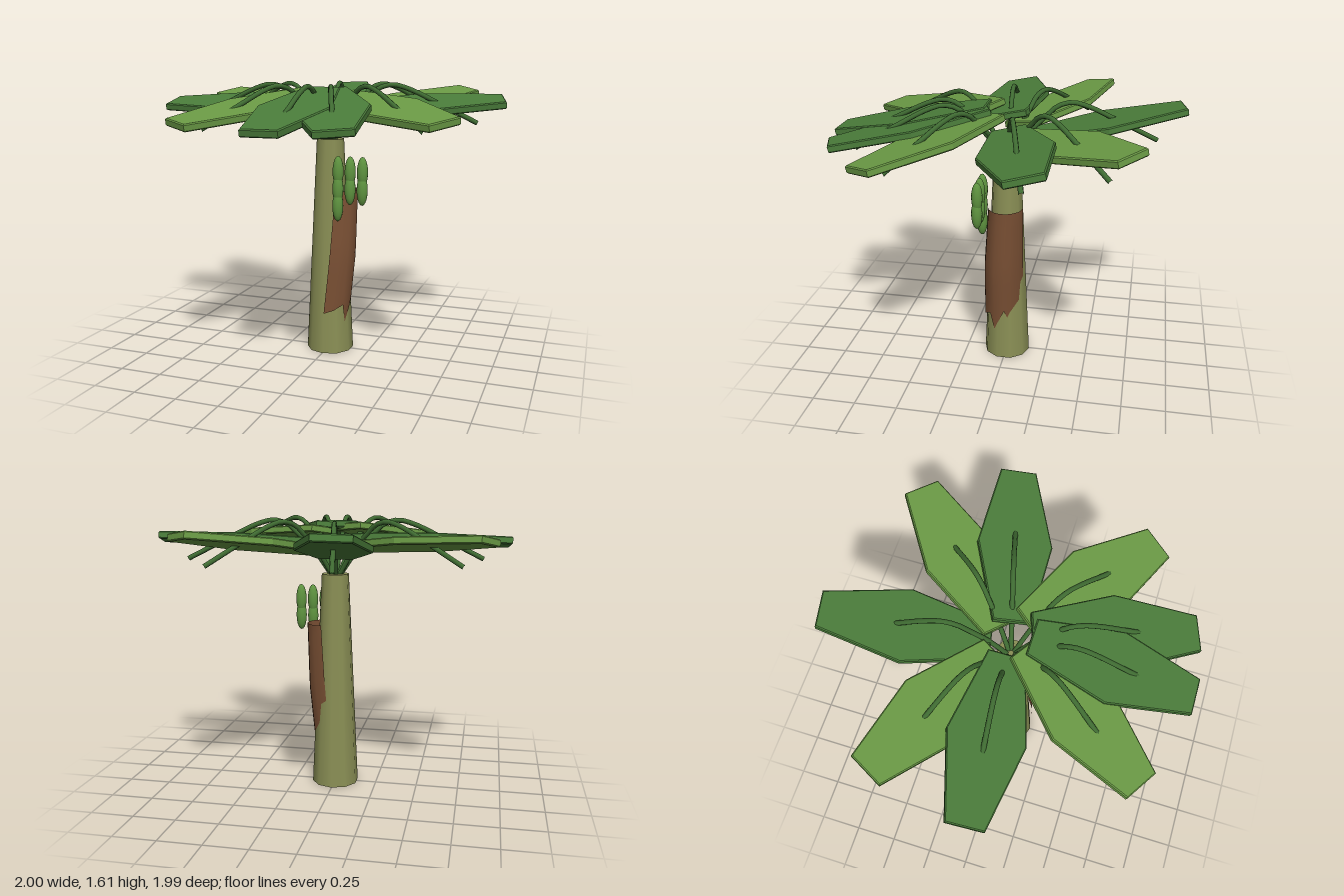
import * as THREE from 'three';

const mat = (color, extra = {}) => new THREE.MeshStandardMaterial({ color, ...extra });
const rad = THREE.MathUtils.degToRad;

const trunkMat = mat(0x8a8f55);
const darkLeaf = mat(0x4a7c3a);
const lightLeaf = mat(0x6a9a45);
const stemMat = mat(0x3f6b32);
const podMat = mat(0x5f9440);
const huskMat = mat(0x7a5034, { side: THREE.DoubleSide });

function add(parent, name, geometry, material) {
  const mesh = new THREE.Mesh(geometry, material);
  mesh.name = name;
  parent.add(mesh);
  return mesh;
}

// Flat six-cornered blade lying along +z, centred on its middle
function leafGeometry() {
  const b = 0.006;
  const shape = new THREE.Shape([
    [-0.1, -0.45], [0.1, -0.45], [0.205, 0], [0.1, 0.45], [-0.1, 0.45], [-0.205, 0],
  ].map(([x, y]) => new THREE.Vector2(x, y)));
  const geo = new THREE.ExtrudeGeometry(shape, {
    depth: 0.03, bevelEnabled: true, bevelThickness: b, bevelSize: b, bevelOffset: -b, bevelSegments: 1,
  });
  geo.translate(0, 0, -0.015);
  geo.rotateX(Math.PI / 2);
  return geo;
}

// Arching stalk in the y-z plane, from the crown through the blade
function stemGeometry() {
  const path = new THREE.CatmullRomCurve3([
    [0.02, 1.27], [0.13, 1.43], [0.22, 1.52], [0.28, 1.575],
    [0.36, 1.597], [0.45, 1.575], [0.6, 1.505], [0.85, 1.38],
  ].map(([r, y]) => new THREE.Vector3(0, y, r)));
  return new THREE.TubeGeometry(path, 24, 0.014, 8);
}

// Bark sheath: half shell against the trunk with a jagged lower edge
function huskGeometry() {
  // column angle from the front (degrees) and height of its lower end
  const columns = [[0, 0.25], [27, 0.27], [55, 0.3], [70, 0.19], [85, 0.26], [100, 0.33], [118, 0.24], [150, 0.3], [180, 0.3]];
  const rows = 8, top = 0.99;
  const curve = (a, b, c, y) => { // through y = 0.28, 0.6, 0.99
    const t = y < 0.6 ? (y - 0.28) / 0.32 : (y - 0.6) / 0.39;
    return y < 0.6 ? a + (b - a) * t : b + (c - b) * t;
  };
  const pos = [], index = [];
  columns.forEach(([deg, low], i) => {
    for (let j = 0; j <= rows; j++) {
      const y = low + (top - low) * j / rows;
      const a = rad(deg), r = curve(0.12, 0.118, 0.102, y);
      pos.push(
        curve(0.012, 0.045, 0.068, y) + r * Math.sin(a), y,
        curve(0.018, 0.014, -0.002, y) + r * Math.cos(a));
      if (i && j) {
        const k = i * (rows + 1) + j, p = k - rows - 1;
        index.push(p - 1, k - 1, k, p - 1, k, p);
      }
    }
  });
  const geo = new THREE.BufferGeometry();
  geo.setAttribute('position', new THREE.Float32BufferAttribute(pos, 3));
  geo.setIndex(index);
  geo.computeVertexNormals();
  return geo;
}

export function createModel() {
  const model = new THREE.Group();
  model.name = 'palmTree';

  // Tapered trunk
  const trunk = add(model, 'trunk', new THREE.CylinderGeometry(0.08, 0.14, 1.285, 10), trunkMat);
  trunk.position.set(0.003, 0.6425, 0);

  add(model, 'barkSheath', huskGeometry(), huskMat);

  // Crown: blades share one tilt, each with a stalk in the same heading
  const crown = new THREE.Group();
  crown.name = 'crown';
  model.add(crown);
  const leafGeo = leafGeometry(), stemGeo = stemGeometry();
  const leaves = [
    [0, darkLeaf], [20.5, darkLeaf], [53, lightLeaf], [105, darkLeaf], [137, lightLeaf],
    [190, darkLeaf], [242.5, lightLeaf], [274.5, darkLeaf], [327.5, lightLeaf],
  ];
  for (const [deg, material] of leaves) {
    const a = rad(deg);
    const leaf = add(crown, 'leaf', leafGeo, material);
    leaf.position.set(0.55 * Math.sin(a), 1.483, 0.55 * Math.cos(a));
    leaf.rotation.set(0.19, a, 0);
    add(crown, 'leafStem', stemGeo, stemMat).rotation.y = a;
  }

  // Fruit hanging in overlapping pods
  const fruit = new THREE.Group();
  fruit.name = 'fruitBunch';
  model.add(fruit);
  const podGeo = new THREE.SphereGeometry(1, 14, 10);
  podGeo.scale(0.032, 0.09, 0.032);
  for (const [x, count] of [[0.095, 3], [0.168, 2], [0.241, 2]]) {
    for (let i = 0; i < count; i++) {
      add(fruit, 'fruitPod', podGeo, podMat).position.set(x, 1.11 - 0.1 * i, 0.128 + 0.002 * i);
    }
  }

  return model;
}
